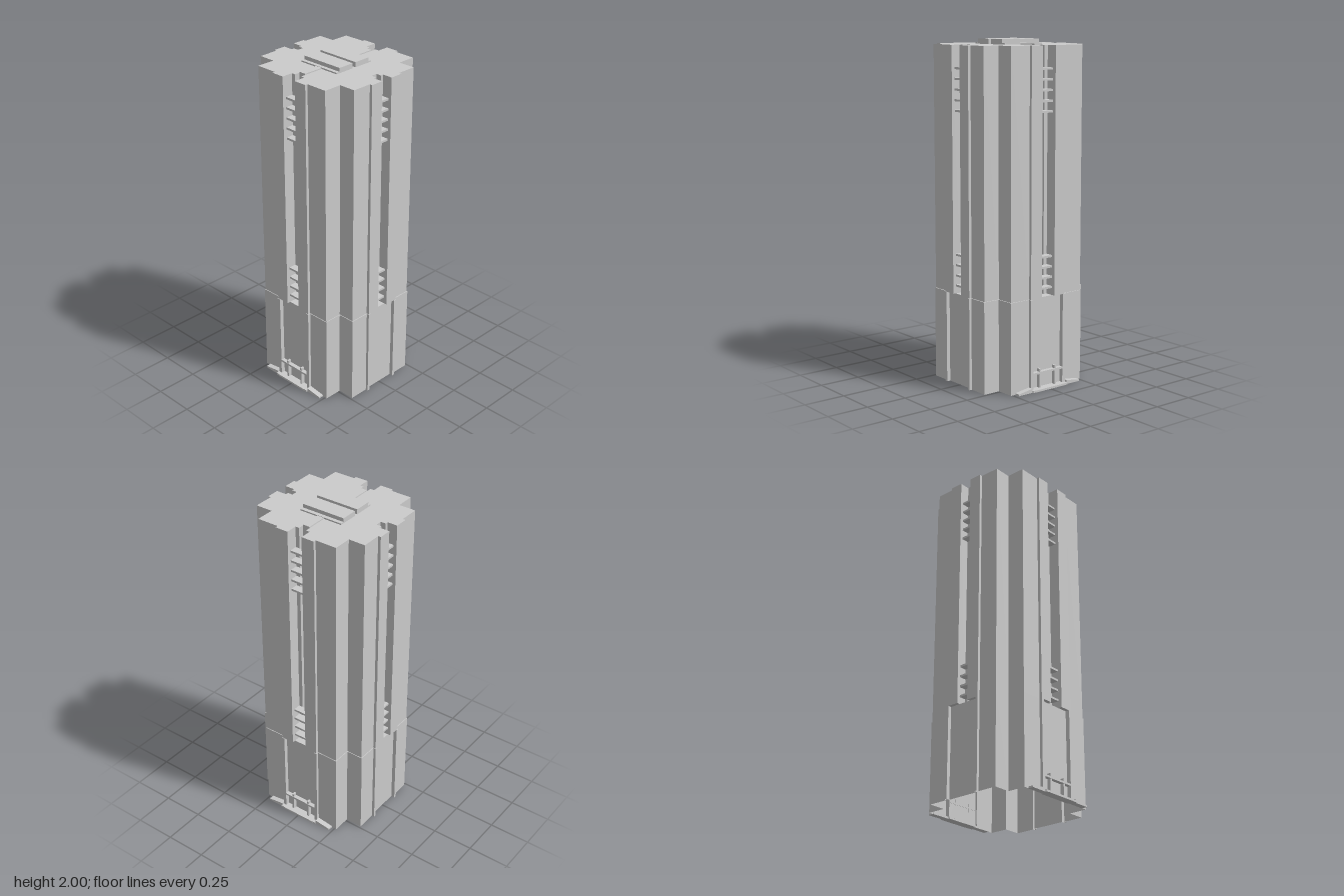
import * as THREE from 'three';

const material = new THREE.MeshStandardMaterial({ color: 0xcccccc, flatShading: true, side: THREE.DoubleSide });

// Mirrors a quarter outline (+x axis round to +z axis) into a closed loop.
function fullOutline(quarter) {
  const loop = [];
  [[1, 1], [-1, 1], [-1, -1], [1, -1]].forEach(([sx, sz], i) => {
    const pts = i % 2 ? [...quarter].reverse() : quarter;
    pts.forEach(([x, z]) => loop.push(new THREE.Vector2(x * sx, z * sz)));
  });
  return loop;
}

function addMesh(group, name, geometry) {
  const mesh = new THREE.Mesh(geometry, material);
  mesh.name = name;
  group.add(mesh);
  return mesh;
}

// Box given by its limits on each axis.
function addBox(group, name, x0, x1, y0, y1, z0, z1) {
  const geometry = new THREE.BoxGeometry(x1 - x0, y1 - y0, z1 - z0);
  geometry.translate((x0 + x1) / 2, (y0 + y1) / 2, (z0 + z1) / 2);
  return addMesh(group, name, geometry);
}

// Vertical walls following a loop, open above and below.
function wallSkin(loop, y0, y1) {
  const p = [];
  loop.forEach((a, i) => {
    const b = loop[(i + 1) % loop.length];
    p.push(a.x, y0, a.y, a.x, y1, a.y, b.x, y1, b.y);
    p.push(a.x, y0, a.y, b.x, y1, b.y, b.x, y0, b.y);
  });
  const geometry = new THREE.BufferGeometry();
  geometry.setAttribute('position', new THREE.Float32BufferAttribute(p, 3));
  geometry.computeVertexNormals();
  return geometry;
}

// Porch on the +z side.
function createEntrance() {
  const g = new THREE.Group();
  addBox(g, 'canopy', -0.11, 0.11, 0.095, 0.107, 0.338, 0.365);
  addBox(g, 'entranceStep', -0.11, 0.11, 0, 0.012, 0.338, 0.39);
  for (const s of [-1, 1]) {
    addBox(g, 'porchPost', s * 0.057 - 0.006, s * 0.057 + 0.006, 0, 0.125, 0.338, 0.362);
    addBox(g, 'stepCheek', s * 0.12 - 0.01, s * 0.12 + 0.01, 0, 0.012, 0.345, 0.388);
    // sloping ramp beside the step
    const ramp = addBox(g, 'ramp', s * 0.18 - 0.05, s * 0.18 + 0.05, 0, 0.024, 0.345, 0.38);
    const pos = ramp.geometry.attributes.position;
    for (let i = 0; i < pos.count; i++) {
      if (pos.getY(i) > 0.01 && Math.abs(pos.getX(i)) > 0.2) pos.setY(i, 0.01);
    }
    ramp.geometry.computeVertexNormals();
  }
  return g;
}

export function createModel() {
  const model = new THREE.Group();
  model.name = 'towerBlock';
  const baseTop = 0.54, roof = 1.97;

  // Base: hollow, open underneath, with a recessed panel on each side
  const base = fullOutline([
    [0.36, 0.101], [0.382, 0.101], [0.382, 0.118], [0.366, 0.118], [0.366, 0.237], [0.262, 0.237],
    [0.262, 0.348], [0.13, 0.348], [0.13, 0.365], [0.11, 0.365], [0.11, 0.34],
  ]);
  addMesh(model, 'baseWalls', wallSkin(base, 0, baseTop));
  const ledge = new THREE.ShapeGeometry(new THREE.Shape(base));
  ledge.rotateX(-Math.PI / 2).translate(0, baseTop, 0);
  addMesh(model, 'baseLedge', ledge);

  // Tower shaft with a stepped notch down each side
  const shaft = fullOutline([
    [0.285, 0.019], [0.317, 0.019], [0.317, 0.037], [0.379, 0.037], [0.379, 0.115], [0.362, 0.115],
    [0.362, 0.234], [0.259, 0.234], [0.259, 0.345], [0.127, 0.345], [0.127, 0.362],
    [0.047, 0.362], [0.047, 0.293], [0.023, 0.293], [0.023, 0.26],
  ]);
  const shaftGeometry = new THREE.ExtrudeGeometry(new THREE.Shape(shaft), { depth: roof - baseTop - 0.001, bevelEnabled: false });
  shaftGeometry.rotateX(-Math.PI / 2).translate(0, baseTop + 0.001, 0);
  addMesh(model, 'towerShaft', shaftGeometry);

  // Thin slabs bridging the notches near the top and bottom
  for (const y of [0.588, 0.648, 0.709, 0.77, 1.6, 1.66, 1.72, 1.78, 1.84]) {
    for (const s of [-1, 1]) {
      const z = s * 0.317, x = s * 0.338;
      addBox(model, 'notchSlab', -0.047, 0.047, y - 0.006, y + 0.006, z - 0.023, z + 0.023);
      addBox(model, 'sideNotchSlab', x - 0.022, x + 0.022, y - 0.006, y + 0.006, -0.037, 0.037);
    }
  }

  // Roof walkway and twin plant rooms
  addBox(model, 'roofWalkway', -0.022, 0.022, roof - 0.005, roof + 0.006, -0.26, 0.26);
  for (const s of [-1, 1]) {
    const [near, mid, far] = [0.011, 0.113, 0.136].map((v) => v * s);
    addBox(model, 'roofPlinth', -0.136, 0.136, roof - 0.005, roof + 0.008, Math.min(near, far), Math.max(near, far));
    addBox(model, 'plantRoom', -0.136, 0.136, roof, 2, Math.min(near, mid), Math.max(near, mid));
  }

  // Entrances at front and back
  for (const [name, angle] of [['frontEntrance', 0], ['backEntrance', Math.PI]]) {
    const entrance = createEntrance();
    entrance.name = name;
    entrance.rotation.y = angle;
    model.add(entrance);
  }
  return model;
}
